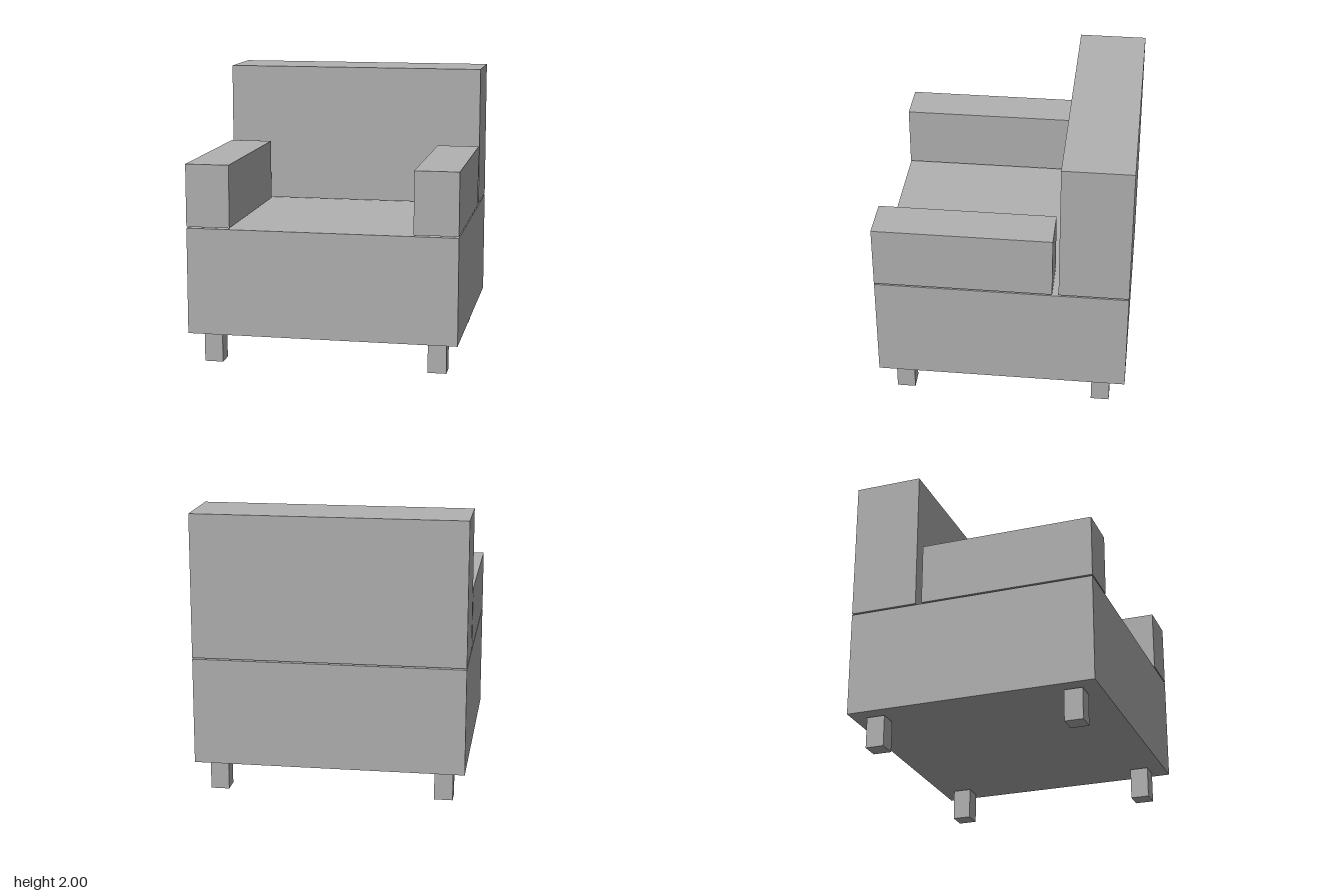
import * as THREE from 'three';

export function createModel() {
  const model = new THREE.Group();
  model.name = 'armchair';
  const grey = new THREE.MeshStandardMaterial({ color: 0xb2b2b2 });
  grey.name = 'grey';

  // Box spanning the given [min, max] range on each axis
  function block(name, [x0, x1], [y0, y1], [z0, z1]) {
    const mesh = new THREE.Mesh(new THREE.BoxGeometry(x1 - x0, y1 - y0, z1 - z0), grey);
    mesh.position.set((x0 + x1) / 2, (y0 + y1) / 2, (z0 + z1) / 2);
    mesh.name = name;
    model.add(mesh);
  }

  // Seat and backrest, with a thin gap between them
  block('seat', [-0.95, 0.95], [0.228, 0.98], [-0.883, 0.883]);
  block('backrest', [-0.95, 0.95], [0.99, 2], [-0.883, -0.4]);

  for (const [side, s] of [['left', 1], ['right', -1]]) {
    const span = (a, b) => (s > 0 ? [a, b] : [-b, -a]);
    // Armrest stops just short of the backrest
    block(side + 'Armrest', span(0.642, 0.95), [0.99, 1.43], [-0.355, 0.883]);
    // Square legs, just clear of the seat
    block(side + 'FrontLeg', span(0.732, 0.862), [0, 0.221], [0.643, 0.773]);
    block(side + 'BackLeg', span(0.732, 0.862), [0, 0.221], [-0.773, -0.643]);
  }
  return model;
}
